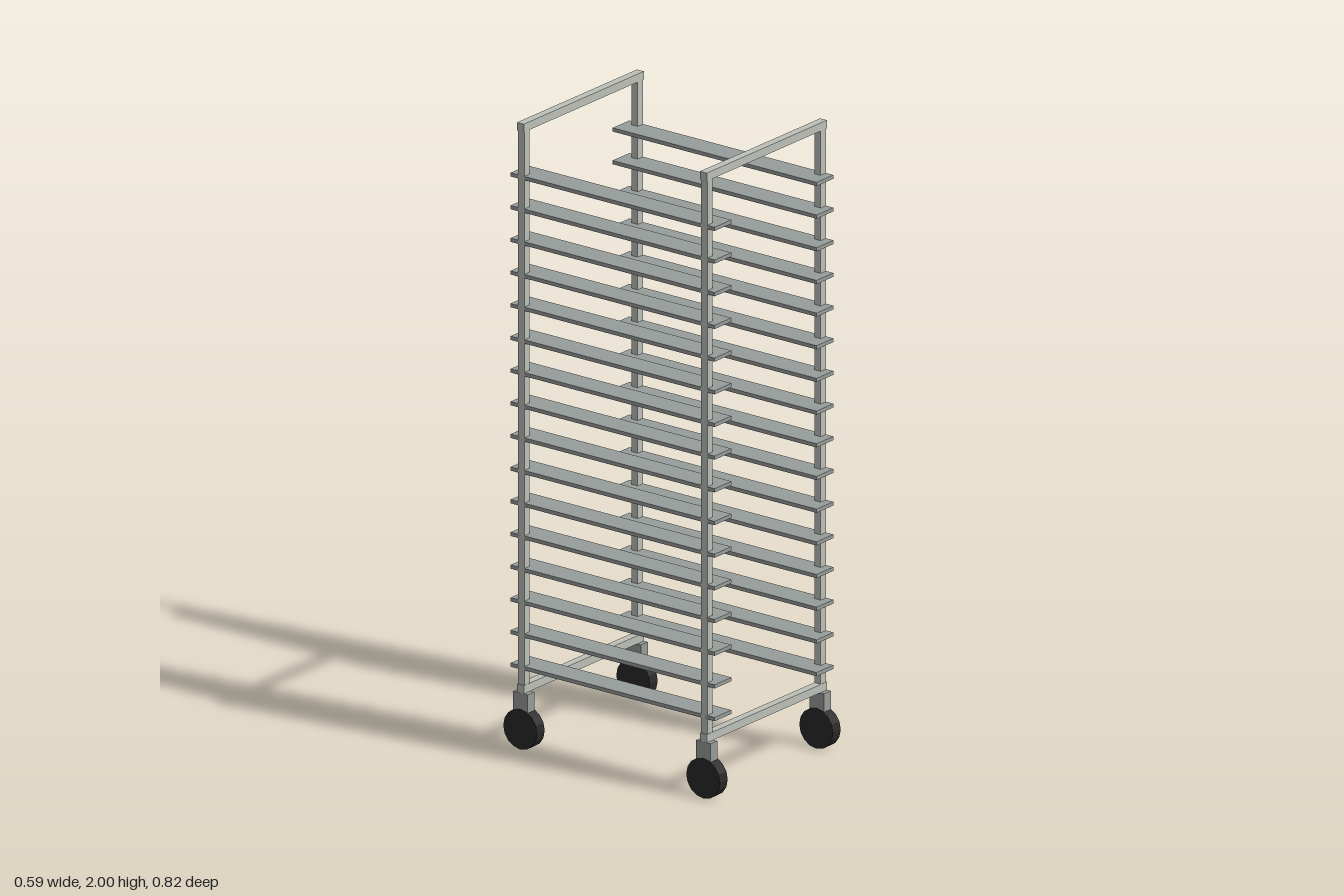
import * as THREE from 'three';

export function createModel() {
  const model = new THREE.Group();
  model.name = 'trayRack';

  const material = (name, color) => {
    const m = new THREE.MeshStandardMaterial({ color });
    m.name = name;
    return m;
  };
  const frameMetal = material('frame metal', 0xbcc1b9);
  const railMetal = material('rail metal', 0x979d9a);
  const rubber = material('black rubber', 0x2a2a2a);
  rubber.flatShading = true;

  const add = (name, geometry, mat, x, y, z) => {
    const mesh = new THREE.Mesh(geometry, mat);
    mesh.name = name;
    mesh.position.set(x, y, z);
    model.add(mesh);
  };

  const postX = 0.277, postZ = 0.348, tube = 0.026;
  const postGeo = new THREE.BoxGeometry(tube, 1.82, tube - 0.002);
  const barGeo = new THREE.BoxGeometry(0.586, tube, tube);
  const railGeo = new THREE.BoxGeometry(0.082, 0.012, 0.776);
  const forkGeo = new THREE.BoxGeometry(0.033, 0.08, 0.055);
  const wheelGeo = new THREE.CylinderGeometry(0.064, 0.064, 0.038, 16).rotateZ(Math.PI / 2);

  // Front and back frames: cross bars, posts and casters
  for (const z of [postZ, -postZ]) {
    add('topBar', barGeo, frameMetal, 0, 1.987, z);
    add('bottomBar', barGeo, frameMetal, 0, 0.193, z);
    for (const x of [postX, -postX]) {
      add('post', postGeo, frameMetal, x, 1.09, z);
      add('casterFork', forkGeo, railMetal, x, 0.14, z);
      add('casterWheel', wheelGeo, rubber, x * 0.996, 0.064, z);
    }
  }

  // Sixteen pairs of tray rails
  for (let i = 0; i < 16; i++) {
    for (const side of [1, -1]) {
      add('trayRail', railGeo, railMetal, side * 0.249, 0.26 + i * 0.1044, 0);
    }
  }

  return model;
}
